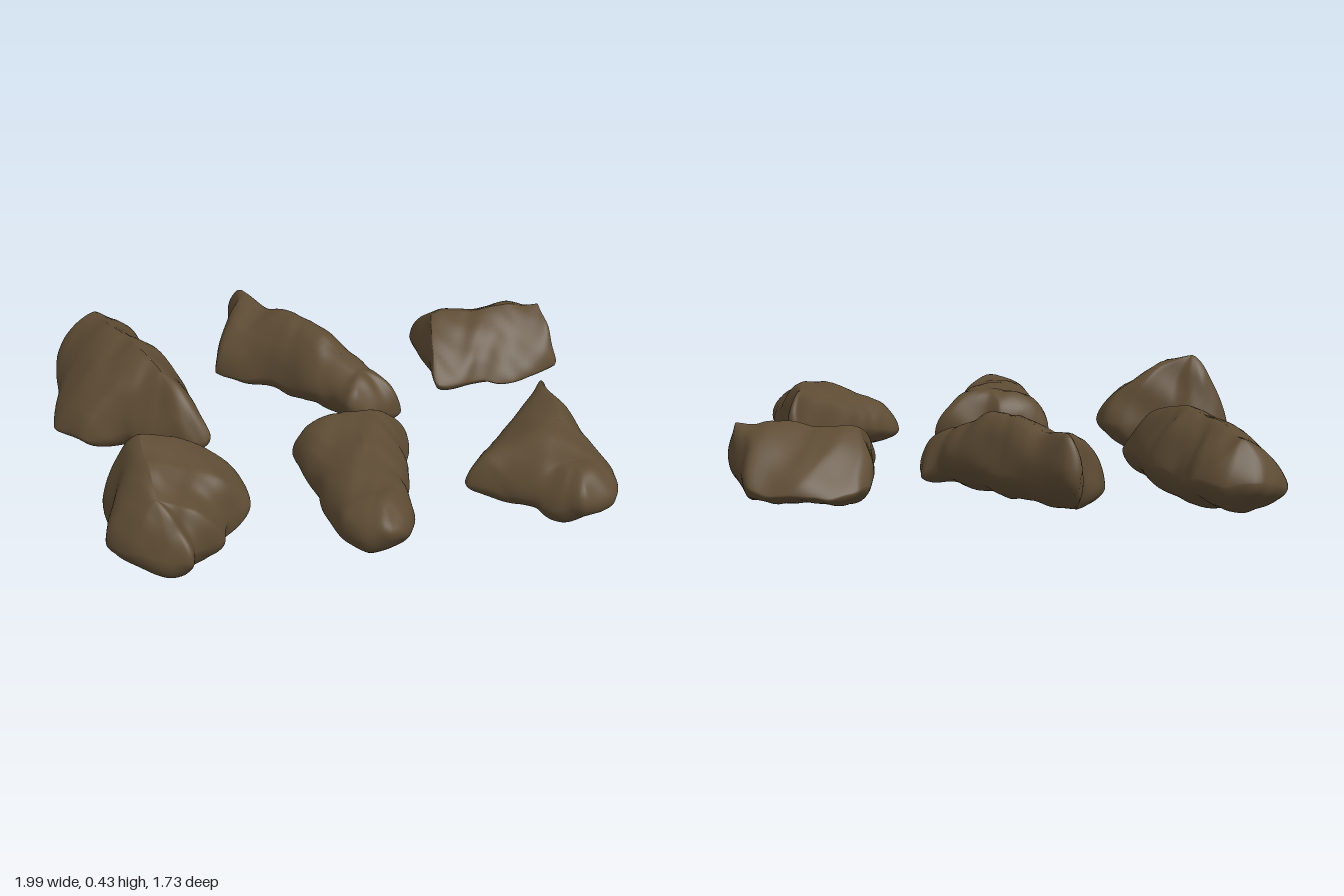
import * as THREE from 'three';

// Each rock: outline [x, z, rimHeight] clockwise from above; crest and keel lines [x, z] -> [x, z]
// with heights spread along them; and the fullness of the slopes (1 = straight, 2 = round, more = boxy).
const rocks = {
  backRightSlab: {
    outline: [[-0.96, -0.55, 0.1], [-0.92, -0.78, 0.15], [-0.82, -0.86, 0.18], [-0.68, -0.85, 0.18], [-0.59, -0.75, 0.17],
      [-0.57, -0.6, 0.16], [-0.5, -0.45, 0.16], [-0.48, -0.28, 0.16], [-0.45, -0.07, 0.15], [-0.46, -0.03, 0.13], [-0.54, -0.04, 0.12],
      [-0.66, -0.12, 0.11], [-0.76, -0.2, 0.09], [-0.91, -0.24, 0.07], [-0.99, -0.36, 0.07]],
    crest: { from: [-0.77, -0.78], to: [-0.6, -0.22], heights: [0.32, 0.35, 0.36, 0.34] }, full: 1.4,
    keel: { from: [-0.77, -0.7], to: [-0.72, -0.32], heights: [0.06, 0.02, 0] },
  },
  backMiddleShard: {
    outline: [[-0.33, -0.56, 0.11], [-0.3, -0.65, 0.14], [-0.23, -0.73, 0.19], [-0.21, -0.84, 0.23], [-0.16, -0.83, 0.23],
      [-0.09, -0.74, 0.18], [0.03, -0.6, 0.17], [0.13, -0.46, 0.17], [0.22, -0.32, 0.17], [0.25, -0.25, 0.15],
      [0.31, -0.2, 0.09], [0.31, -0.1, 0.09], [0.24, -0.09, 0.11], [0.18, -0.06, 0.13], [0.09, -0.06, 0.17],
      [0.05, -0.16, 0.17], [-0.06, -0.29, 0.15], [-0.16, -0.42, 0.13], [-0.28, -0.51, 0.11]],
    crest: { from: [-0.18, -0.77], to: [0.16, -0.18], heights: [0.34, 0.33, 0.36, 0.34, 0.26] }, full: 1.8,
    keel: { from: [-0.21, -0.66], to: [0.19, -0.15], heights: [0.06, 0.05] },
  },
  backLeftWedge: {
    outline: [[0.48, -0.6, 0.14], [0.53, -0.67, 0.13], [0.63, -0.7, 0.12], [0.8, -0.69, 0.12], [0.9, -0.65, 0.14],
      [0.93, -0.55, 0.17], [0.98, -0.4, 0.21], [0.99, -0.25, 0.15], [0.97, -0.23, 0.14], [0.9, -0.22, 0.12], [0.75, -0.21, 0.11],
      [0.6, -0.2, 0.13], [0.49, -0.19, 0.15], [0.48, -0.22, 0.16], [0.48, -0.4, 0.19]],
    crest: { from: [0.52, -0.45], to: [0.96, -0.41], heights: [0.31, 0.33, 0.33] }, full: 1.3,
    keel: { from: [0.58, -0.45], to: [0.9, -0.43], heights: [0.06, 0.07] },
  },
  frontRightPeak: {
    outline: [[-0.9, 0.3, 0.11], [-0.83, 0.265, 0.14], [-0.75, 0.27, 0.18], [-0.68, 0.3, 0.2], [-0.58, 0.3, 0.18],
      [-0.48, 0.3, 0.17], [-0.41, 0.35, 0.16], [-0.41, 0.48, 0.16], [-0.5, 0.54, 0.14], [-0.52, 0.63, 0.13],
      [-0.63, 0.67, 0.12], [-0.66, 0.74, 0.13], [-0.74, 0.73, 0.14], [-0.85, 0.67, 0.15], [-0.93, 0.56, 0.14], [-0.9, 0.42, 0.12]],
    crest: { from: [-0.76, 0.36], to: [-0.76, 0.62], heights: [0.44, 0.4, 0.33] }, full: 1.5,
    keel: { from: [-0.76, 0.4], to: [-0.7, 0.58], heights: [0.02, 0.02] },
  },
  frontMiddleBlock: {
    outline: [[-0.19, 0.2, 0.18], [-0.13, 0.16, 0.18], [-0.05, 0.14, 0.18], [-0.01, 0.12, 0.17], [0.05, 0.15, 0.17],
      [0.15, 0.16, 0.17], [0.24, 0.2, 0.16], [0.21, 0.33, 0.15], [0.17, 0.48, 0.15], [0.14, 0.6, 0.16],
      [0.12, 0.72, 0.17], [0.08, 0.82, 0.2], [0, 0.86, 0.22], [-0.08, 0.83, 0.2], [-0.15, 0.74, 0.18], [-0.16, 0.6, 0.17], [-0.17, 0.4, 0.18]],
    crest: { from: [0.04, 0.23], to: [-0.02, 0.7], heights: [0.33, 0.31, 0.3] }, full: 2,
    keel: { from: [0.02, 0.25], to: [0, 0.64], heights: [0.05, 0.06] },
  },
  frontLeftPoint: {
    outline: [[0.73, 0.17, 0.18], [0.77, 0.11, 0.18], [0.8, 0.13, 0.18], [0.81, 0.24, 0.16], [0.86, 0.38, 0.15],
      [0.88, 0.52, 0.16], [0.9, 0.62, 0.17], [0.85, 0.75, 0.18], [0.72, 0.8, 0.17], [0.63, 0.74, 0.14],
      [0.58, 0.65, 0.13], [0.47, 0.56, 0.13], [0.38, 0.48, 0.13], [0.48, 0.385, 0.14], [0.6, 0.28, 0.16]],
    crest: { from: [0.77, 0.18], to: [0.73, 0.64], heights: [0.34, 0.34, 0.32, 0.28] }, full: 1.8,
    keel: { from: [0.74, 0.28], to: [0.7, 0.6], heights: [0.05, 0.04] },
  },
};

// Closest point to p, seen from above, on a straight line with varying height
function nearestOn({ from, to, heights }, p) {
  const dx = to[0] - from[0], dz = to[1] - from[1];
  const t = THREE.MathUtils.clamp(((p.x - from[0]) * dx + (p.z - from[1]) * dz) / (dx * dx + dz * dz), 0, 1);
  const s = t * (heights.length - 1), i = Math.min(Math.floor(s), heights.length - 2);
  return new THREE.Vector3(from[0] + dx * t, THREE.MathUtils.lerp(heights[i], heights[i + 1], s - i), from[1] + dz * t);
}

// Weathering: smooth lumps, a few creases and a finer grain
function weather(p) {
  const { x, y, z } = p;
  const crease = 0.5 - Math.abs(Math.sin(11 * x + 6 * z + 9 * y + Math.sin(7 * z)));
  const grain = Math.sin(43 * x + 13 * y) * Math.sin(37 * z - 17 * y + 2 * Math.sin(19 * x));
  const k = 0.005;
  p.x += k * (Math.sin(23 * z + 19 * y) + crease + 0.4 * grain);
  p.z += k * (Math.sin(21 * x - 25 * y) - crease + 0.4 * grain);
  p.y += k * (Math.sin(27 * x + 17 * z) + 1.5 * crease + 0.6 * grain) * Math.min(1, y / 0.06);
}

// Loft from the keel out to the rim and back in to the crest
function rockGeometry({ outline, crest, keel, full }) {
  const N = 120, R = 18;
  const corners = outline.map(([x, z, y]) => new THREE.Vector3(x, y, z));
  const rim = new THREE.CatmullRomCurve3(corners, true, 'catmullrom', 0.3).getSpacedPoints(N).slice(0, N);
  const pos = [], index = [];
  for (let j = 0; j <= 2 * R; j++) {
    const inward = 1 - Math.cos(Math.abs(j - R) / R * Math.PI / 2);
    const power = j < R ? 1.8 : full;
    const rise = Math.pow(1 - Math.pow(1 - inward, power), 1 / power);
    for (const p of rim) {
      const q = nearestOn(j < R ? keel : crest, p);
      const v = new THREE.Vector3(
        THREE.MathUtils.lerp(p.x, q.x, inward),
        THREE.MathUtils.lerp(p.y, q.y, rise),
        THREE.MathUtils.lerp(p.z, q.z, inward));
      weather(v);
      pos.push(v.x, v.y, v.z);
    }
  }
  for (let j = 0; j < 2 * R; j++) {
    for (let i = 0; i < N; i++) {
      const a = j * N + i, b = j * N + (i + 1) % N, c = a + N, d = b + N;
      index.push(a, c, b, b, c, d);
    }
  }
  const g = new THREE.BufferGeometry();
  g.setAttribute('position', new THREE.Float32BufferAttribute(pos, 3));
  g.setIndex(index);
  g.computeVertexNormals();
  return g;
}

export function createModel() {
  const group = new THREE.Group();
  group.name = 'rocks';
  const stone = new THREE.MeshStandardMaterial({ color: 0x5e4c34 });
  stone.name = 'brownStone';
  for (const [name, spec] of Object.entries(rocks)) {
    const mesh = new THREE.Mesh(rockGeometry(spec), stone);
    mesh.name = name;
    group.add(mesh);
  }
  return group;
}
